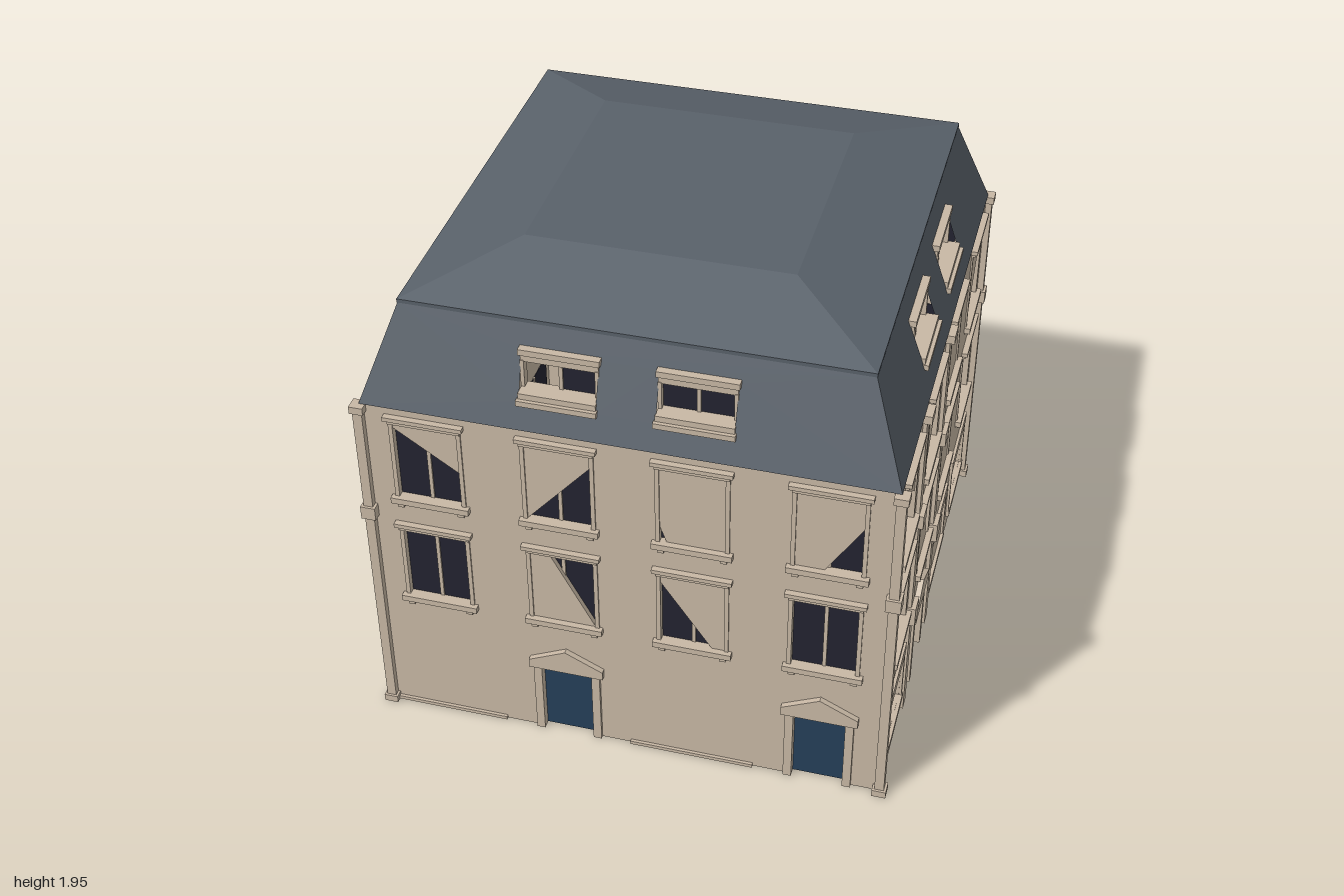
import * as THREE from 'three';

const mat = (name, color, double) => {
  const m = new THREE.MeshStandardMaterial({ color });
  m.name = name;
  if (double) m.side = THREE.DoubleSide;
  return m;
};

const W = 0.965;                 // outer face of the walls
const EAVE = 1.46, BREAK = 1.83; // heights where the roof begins and bends
const COLS = [-0.732, -0.245, 0.245, 0.732];
const GCOLS = [-0.735, -0.24, 0.24, 0.735];
const ROWS = { t: { y: 1.06, h: 0.335 }, m: { y: 0.58, h: 0.32 }, g: { y: 0.12, h: 0.21 } };
const slopeZ = (y) => 0.97 - 0.13 * (y - EAVE) / (BREAK - EAVE);

// Opening outlines in fractions of a window's width and height; null is a blind window
const F = [[0, 0], [1, 0], [1, 1], [0, 1]];
const sideRows = {
  t: [[[0, 0], [1, 0], [1, 0.37], [0, 0.93]], [[0.12, 0], [1, 0], [1, 0.75]], null, [[0.13, 0], [1, 0], [1, 0.75]]],
  m: [F, [[0.22, 1], [1, 1], [1, 0]], null, F],
  g: [F, undefined, null, F],
};
const SIDES = [
  {
    name: 'front', angle: 0, doors: [[-0.245, true], [0.73, true]], pilasters: [], gaps: ['d1L'],
    t: [[[0, 0], [1, 0], [1, 0.45], [0, 0.93]], [[0, 0], [1, 0], [1, 0.82]], [[0, 0], [0.1, 0], [0, 0.2]], [[0.45, 0], [1, 0], [1, 0.63]]],
    m: [F, [[0.3, 1], [1, 1], [1, 0]], [[0, 0], [0.8, 0], [0, 0.88]], F],
    g: [],
  },
  { name: 'right', angle: Math.PI / 2, doors: [[-0.245, false]], pilasters: [-0.495, 0], gaps: ['m0L', 'm0R'], ...sideRows },
  {
    name: 'back', angle: Math.PI, doors: [], pilasters: [], gaps: ['t3R', 'm0R'],
    t: [[[0, 0], [0.55, 0], [0, 0.72]], [[0.87, 0], [1, 0], [1, 0.12]], F, F],
    m: [F, [[0.1, 0], [1, 0], [1, 0.88]], F, F],
    g: [F, [[0.05, 1], [1, 1], [1, 0.05]]],
  },
  {
    name: 'left', angle: -Math.PI / 2, doors: [[-0.245, true]], pilasters: [-0.495, 0],
    gaps: ['m0L', 'm0R', 'm3L', 'm3R'], ...sideRows,
    t: [[[0, 0], [0.8, 0], [0, 0.6]], ...sideRows.t.slice(1)],
  },
];

export function createModel() {
  const wallMat = mat('stone', 0xc8b8a5, true);
  const roofMat = mat('slate', 0x59616a, true);
  const glassMat = mat('dark glass', 0x232330, true);
  const doorMat = mat('blue door', 0x253f59, true);
  const model = new THREE.Group();
  model.name = 'townhouse';

  const add = (parent, name, geo, m) => {
    const mesh = new THREE.Mesh(geo, m);
    mesh.name = name;
    parent.add(mesh);
    return mesh;
  };
  // Box given by its limits on each axis
  const box = (parent, name, m, x0, x1, y0, y1, z0, z1) => {
    const mesh = add(parent, name, new THREE.BoxGeometry(x1 - x0, y1 - y0, z1 - z0), m);
    mesh.position.set((x0 + x1) / 2, (y0 + y1) / 2, (z0 + z1) / 2);
    return mesh;
  };

  // Two panes and a mullion, with either pane left out where listed
  const panes = (parent, key, gaps, c, hw, y, h, z) => {
    if (!gaps.includes(key + 'L')) box(parent, 'leftPane', glassMat, c - hw, c, y, y + h, z - 0.002, z);
    if (!gaps.includes(key + 'R')) box(parent, 'rightPane', glassMat, c, c + hw, y, y + h, z - 0.002, z);
    box(parent, 'mullion', wallMat, c - 0.007, c + 0.007, y, y + h, z - 0.006, z + 0.006);
  };

  // Tall window: side trim, hood, sill and brackets
  const windowTrim = (g, c, y, h) => {
    for (const s of [-1, 1]) {
      const x = c + s * 0.127;
      box(g, 'windowJamb', wallMat, x - 0.008, x + 0.008, y, y + h, W - 0.01, W + 0.006);
      const b = c + s * 0.115;
      box(g, 'sillBracket', wallMat, b - 0.012, b + 0.012, y - 0.045, y - 0.025, W - 0.01, W + 0.014);
    }
    box(g, 'windowHood', wallMat, c - 0.135, c + 0.135, y + h, y + h + 0.018, W - 0.01, W + 0.014);
    box(g, 'windowHoodCap', wallMat, c - 0.148, c + 0.148, y + h + 0.018, y + h + 0.035, W - 0.01, W + 0.024);
    box(g, 'windowSill', wallMat, c - 0.148, c + 0.148, y - 0.025, y, W - 0.01, W + 0.024);
  };

  // Wide ground-floor window: a flat picture-frame surround
  const groundTrim = (g, c) => {
    for (const s of [-1, 1]) {
      const x = c + s * 0.174;
      box(g, 'groundJamb', wallMat, x - 0.009, x + 0.009, 0.09, 0.335, W - 0.01, W + 0.01);
    }
    box(g, 'groundLintel', wallMat, c - 0.183, c + 0.183, 0.335, 0.385, W - 0.01, W + 0.012);
    box(g, 'groundSill', wallMat, c - 0.183, c + 0.183, 0.09, 0.118, W - 0.01, W + 0.014);
  };

  const doorway = (g, c, leaf) => {
    if (leaf) box(g, 'door', doorMat, c - 0.105, c + 0.105, 0, 0.335, W - 0.026, W - 0.021);
    for (const s of [-1, 1]) {
      const x = c + s * 0.114;
      box(g, 'doorJamb', wallMat, x - 0.016, x + 0.016, 0, 0.33, W - 0.02, W + 0.014);
    }
    const p = [[-0.145, 0.328], [0.145, 0.328], [0.145, 0.365], [0, 0.435], [-0.145, 0.365]];
    const shape = new THREE.Shape(p.map(([x, y]) => new THREE.Vector2(x + c, y)));
    add(g, 'doorPediment', new THREE.ExtrudeGeometry(shape, { depth: 0.03, bevelEnabled: false }), wallMat).position.z = W - 0.008;
  };

  const pilaster = (g, c) => {
    box(g, 'pilasterShaft', wallMat, c - 0.03, c + 0.03, 0, EAVE, W - 0.01, W + 0.015);
    for (const [y0, y1] of [[0.455, 0.54], [0.94, 1.0], [1.425, EAVE]])
      box(g, 'pilasterBand', wallMat, c - 0.038, c + 0.038, y0, y1, W - 0.01, W + 0.033);
  };

  // Roof window set into the steep slope
  const dormer = (g, c, i, gaps) => {
    panes(g, 'd' + i, gaps, c, 0.128, 1.59, 0.115, 0.872);
    box(g, 'dormerSill', wallMat, c - 0.145, c + 0.145, 1.55, 1.572, 0.86, 0.952);
    box(g, 'dormerLedge', wallMat, c - 0.14, c + 0.14, 1.572, 1.595, 0.86, 0.938);
    box(g, 'dormerHead', wallMat, c - 0.14, c + 0.14, 1.7, 1.728, 0.86, 0.89);
    box(g, 'dormerHood', wallMat, c - 0.146, c + 0.146, 1.728, 1.752, 0.85, 0.897);
    for (const s of [-1, 1]) {
      const x = c + s * 0.134;
      box(g, 'dormerCheek', wallMat, x - 0.007, x + 0.007, 1.59, 1.705, 0.86, 0.893);
    }
  };

  for (const side of SIDES) {
    const g = new THREE.Group();
    g.name = side.name + 'Side';
    g.rotation.y = side.angle;
    model.add(g);

    // Wall outline, notched at the doorways
    const wall = new THREE.Shape().moveTo(-W, 0);
    for (const [c, leaf] of side.doors) {
      wall.lineTo(c - 0.098, 0).lineTo(c - 0.098, 0.328).lineTo(c + 0.098, 0.328).lineTo(c + 0.098, 0);
      doorway(g, c, leaf);
    }
    wall.lineTo(W, 0).lineTo(W, EAVE).lineTo(-W, EAVE);

    // Window openings with their glass and trim
    for (const key of ['t', 'm', 'g']) {
      const { y, h } = ROWS[key];
      const hw = key === 'g' ? 0.163 : 0.119;
      side[key].forEach((outline, i) => {
        if (outline === undefined) return;
        const c = (key === 'g' ? GCOLS : COLS)[i];
        if (outline) wall.holes.push(new THREE.Path(outline.map(([u, v]) => new THREE.Vector2(c + (2 * u - 1) * hw, y + v * h))));
        panes(g, key + i, side.gaps, c, hw + 0.004, y - 0.004, h + 0.008, W - 0.022);
        if (key === 'g') groundTrim(g, c);
        else windowTrim(g, c, y, h);
      });
    }
    add(g, 'wall', new THREE.ExtrudeGeometry(wall, { depth: 0.02, bevelEnabled: false }), wallMat).position.z = W - 0.02;
    side.pilasters.forEach((c) => pilaster(g, c));

    // Steep lower roof, leaned back by a rule, with holes for the roof windows
    const slope = new THREE.Shape([[-0.97, EAVE], [0.97, EAVE], [0.84, BREAK], [-0.84, BREAK]].map(([x, y]) => new THREE.Vector2(x, y)));
    [-0.245, 0.245].forEach((c, i) => {
      slope.holes.push(new THREE.Path([[-1, 1.56], [1, 1.56], [1, 1.74], [-1, 1.74]].map(([s, y]) => new THREE.Vector2(c + s * 0.138, y))));
      dormer(g, c, i + (side.name === 'front' ? 1 : 0), side.gaps);
    });
    const geo = new THREE.ShapeGeometry(slope);
    const pos = geo.attributes.position;
    for (let i = 0; i < pos.count; i++) pos.setZ(i, slopeZ(pos.getY(i)));
    geo.computeVertexNormals();
    add(g, 'lowerRoof', geo, roofMat);
  }

  // Thin plinth strips along the front
  const front = model.getObjectByName('frontSide');
  for (const [x0, x1] of [[-0.95, -0.5], [0, 0.48]]) box(front, 'plinth', wallMat, x0, x1, 0, 0.015, W - 0.01, W + 0.012);

  // Shallow upper roof with a flat crown
  box(model, 'roofLip', roofMat, -0.842, 0.842, BREAK, 1.845, -0.842, 0.842);
  const crown = new THREE.CylinderGeometry(0.49 * Math.SQRT2, 0.84 * Math.SQRT2, 0.1, 4).toNonIndexed();
  crown.rotateY(Math.PI / 4);
  crown.computeVertexNormals();
  add(model, 'upperRoof', crown, roofMat).position.y = 1.895;

  // Corner columns with base, middle knob and cap
  for (const sx of [-1, 1]) for (const sz of [-1, 1]) {
    const col = new THREE.Group();
    col.name = 'cornerColumn';
    col.position.set(sx * 0.972, 0, sz * 0.972);
    model.add(col);
    for (const [name, r, y0, y1] of [['shaft', 0.018, 0, EAVE], ['base', 0.027, 0, 0.03], ['knob', 0.028, 0.945, 1.0], ['cap', 0.026, 1.43, EAVE]])
      box(col, name, wallMat, -r, r, y0, y1, -r, r);
  }
  return model;
}
